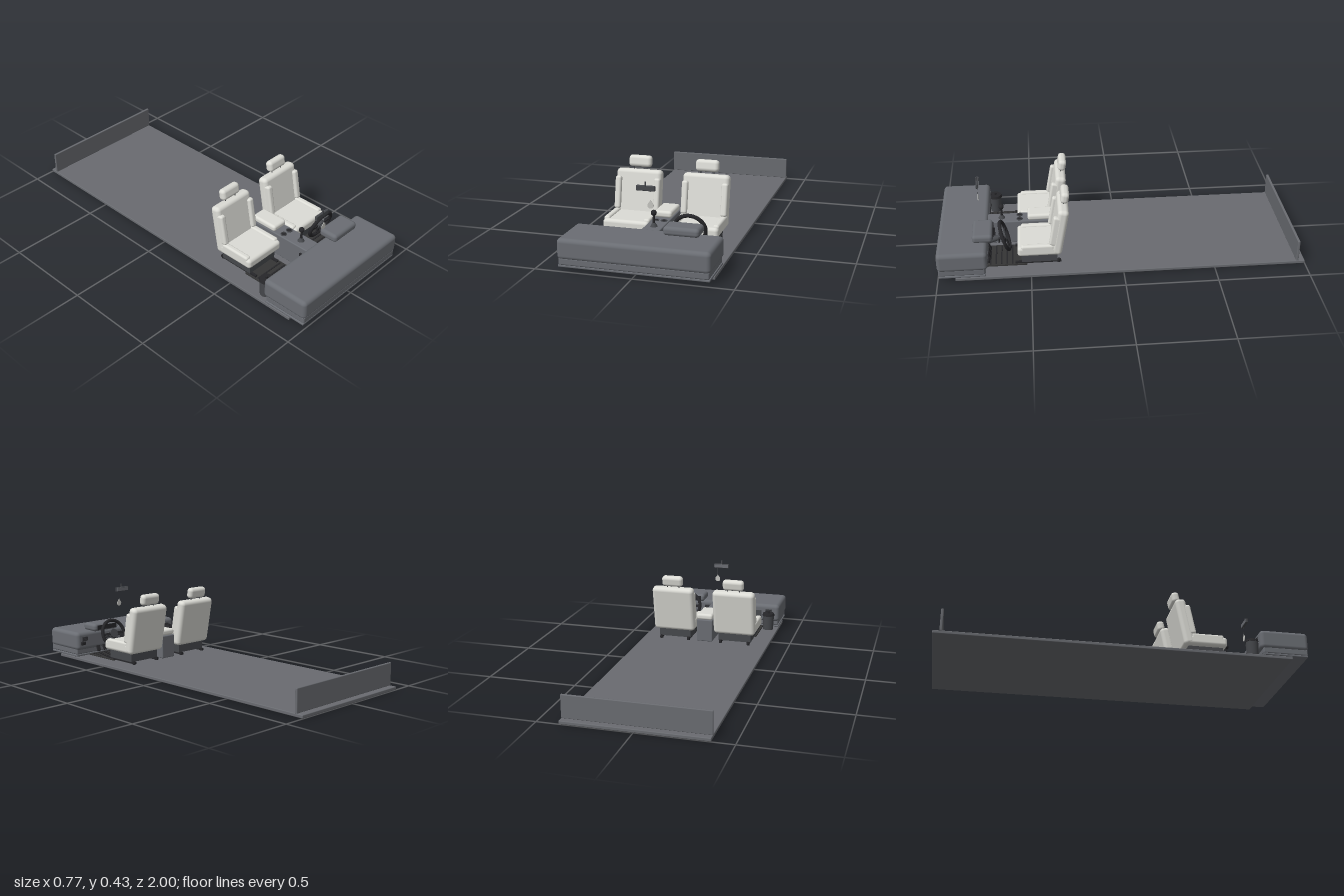
import * as THREE from 'three';
import { RoundedBoxGeometry } from 'three/addons/geometries/RoundedBoxGeometry.js';

const mat = (name, color, side = THREE.FrontSide) => {
  const m = new THREE.MeshStandardMaterial({ color, side });
  m.name = name;
  return m;
};

export function createModel() {
  const floorGrey = mat('floor grey', 0x696b70);
  const dashGrey = mat('dash grey', 0x6a6d73);
  const cream = mat('seat cream', 0xdcdcd6);
  const charcoal = mat('charcoal', 0x46484c);
  const matBlack = mat('mat black', 0x353535);
  const black = mat('black', 0x27272a);
  const pale = mat('pendant grey', 0xc4c4c0, THREE.DoubleSide);

  const root = new THREE.Group();
  root.name = 'vanInterior';

  const add = (parent, name, geo, m, x = 0, y = 0, z = 0) => {
    const mesh = new THREE.Mesh(geo, m);
    mesh.name = name;
    mesh.position.set(x, y, z);
    parent.add(mesh);
    return mesh;
  };
  const group = (name, x = 0, y = 0, z = 0) => {
    const g = new THREE.Group();
    g.name = name;
    g.position.set(x, y, z);
    root.add(g);
    return g;
  };
  const box = (w, h, d) => new THREE.BoxGeometry(w, h, d);
  const soft = (w, h, d, r) => new RoundedBoxGeometry(w, h, d, 4, r);
  const cyl = (rt, rb, h, n = 20) => new THREE.CylinderGeometry(rt, rb, h, n);

  // Floor and rear wall
  add(root, 'floor', soft(0.766, 0.018, 1.905, 0.004), floorGrey, 0, 0.0095, -0.0475);
  add(root, 'rearPanel', soft(0.766, 0.125, 0.014, 0.004), floorGrey, 0, 0.08, -0.958);

  // Dashboard: padded top over a stepped lower body
  add(root, 'dashTop', soft(0.77, 0.108, 0.27, 0.022), dashGrey, 0, 0.112, 0.865);
  add(root, 'dashLower', soft(0.756, 0.038, 0.25, 0.008), dashGrey, 0, 0.05, 0.87);
  add(root, 'dashFoot', soft(0.762, 0.012, 0.25, 0.004), dashGrey, 0, 0.026, 0.868);
  add(root, 'instrumentHood', soft(0.184, 0.046, 0.11, 0.018), dashGrey, 0.185, 0.186, 0.755);
  add(root, 'instrumentPanel', box(0.14, 0.026, 0.006), black, 0.185, 0.186, 0.7);
  add(root, 'gloveBox', box(0.18, 0.045, 0.006), charcoal, -0.185, 0.105, 0.729);
  add(root, 'gloveBoxHandle', box(0.06, 0.007, 0.009), black, -0.185, 0.12, 0.726);

  // Dash vents with slats
  for (const x of [-0.32, -0.075, 0.075, 0.33]) {
    add(root, 'ventFrame', box(0.042, 0.026, 0.006), charcoal, x, 0.125, 0.729);
    for (let i = -1; i <= 1; i++)
      add(root, 'ventSlat', box(0.036, 0.003, 0.006), black, x, 0.125 + i * 0.007, 0.726);
  }

  // Foot mats with low ribs
  for (const s of [-1, 1]) {
    add(root, 'footMat', box(0.2, 0.008, 0.24), matBlack, s * 0.185, 0.022, 0.64);
    for (let i = 0; i < 5; i++)
      add(root, 'matRib', box(0.18, 0.003, 0.008), black, s * 0.185, 0.027, 0.6 + i * 0.03);
  }

  // Pedals
  for (const x of [0.14, 0.185, 0.232]) {
    add(root, 'pedal', soft(0.026, 0.036, 0.008, 0.003), black, x, 0.055, 0.725).rotation.x = 0.4;
    add(root, 'pedalArm', box(0.006, 0.03, 0.006), black, x, 0.075, 0.738).rotation.x = 0.5;
  }
  add(root, 'sideSwitch', soft(0.03, 0.02, 0.018, 0.004), black, 0.345, 0.1, 0.726);

  // Centre console
  const con = group('centreConsole');
  add(con, 'consoleBody', soft(0.096, 0.135, 0.42, 0.006), dashGrey, 0, 0.087, 0.56);
  add(con, 'armrest', soft(0.096, 0.036, 0.16, 0.014), cream, 0, 0.172, 0.43);
  for (const s of [-1, 1]) {
    const ring = add(con, 'cupHolderRing', new THREE.TorusGeometry(0.015, 0.003, 8, 24), charcoal, s * 0.022, 0.156, 0.555);
    ring.rotation.x = Math.PI / 2;
    add(con, 'cupHolderWell', cyl(0.014, 0.014, 0.004), black, s * 0.022, 0.155, 0.555);
    add(con, 'consoleTrim', box(0.008, 0.05, 0.04), black, s * 0.056, 0.1, 0.715);
  }
  add(con, 'shifterBoot', cyl(0.008, 0.02, 0.02), charcoal, 0, 0.163, 0.655);
  add(con, 'shifterStick', cyl(0.005, 0.007, 0.06, 12), black, 0, 0.19, 0.655);
  add(con, 'shifterKnob', new THREE.SphereGeometry(0.015, 20, 14), black, 0, 0.226, 0.655);

  // Seats
  for (const s of [-1, 1]) {
    const seat = group(s > 0 ? 'driverSeat' : 'passengerSeat', s * 0.185, 0, 0);
    add(seat, 'seatBase', box(0.195, 0.052, 0.195), charcoal, 0, 0.061, 0.452);
    add(seat, 'seatCushion', soft(0.25, 0.056, 0.24, 0.018), cream, 0, 0.113, 0.45);
    const back = new THREE.Group();
    back.name = 'seatBack';
    back.position.set(0, 0.085, 0.362);
    back.rotation.x = -0.185;
    seat.add(back);
    add(back, 'backrest', soft(0.252, 0.275, 0.06, 0.022), cream, 0, 0.137, 0);
    add(back, 'headrest', soft(0.126, 0.063, 0.044, 0.019), cream, 0, 0.317, 0);
    for (const t of [-1, 1]) {
      add(seat, 'seatRail', box(0.014, 0.012, 0.25), black, t * 0.085, 0.03, 0.46);
      add(seat, 'railFoot', cyl(0.009, 0.009, 0.018, 14), black, t * 0.085, 0.03, 0.348);
      add(seat, 'cushionBolster', soft(0.034, 0.05, 0.18, 0.012), cream, t * 0.108, 0.126, 0.46);
      add(back, 'backBolster', soft(0.034, 0.175, 0.045, 0.012), cream, t * 0.108, 0.145, 0.026);
      add(back, 'headrestPost', cyl(0.003, 0.003, 0.03, 10), charcoal, t * 0.036, 0.282, 0);
    }
  }

  // Steering wheel, tilted with its column running forward and down
  const wheel = group('steeringWheel', 0.185, 0.152, 0.637);
  wheel.rotation.x = 0.31;
  add(wheel, 'wheelRim', new THREE.TorusGeometry(0.08, 0.01, 12, 40), black);
  add(wheel, 'wheelHub', cyl(0.024, 0.026, 0.018, 24), charcoal).rotation.x = Math.PI / 2;
  for (const a of [0, Math.PI, -Math.PI / 2])
    add(wheel, 'wheelSpoke', box(0.062, 0.014, 0.008), black,
      Math.cos(a) * 0.048, Math.sin(a) * 0.048, 0).rotation.z = a;
  add(wheel, 'steeringColumn', cyl(0.018, 0.014, 0.12), charcoal, 0, 0, 0.065).rotation.x = Math.PI / 2;
  for (const s of [-1, 1])
    add(wheel, 'columnStalk', cyl(0.003, 0.004, 0.05, 10), black, s * 0.036, 0.005, 0.03).rotation.z = Math.PI / 2;

  // Waste bin beside the passenger seat
  const bin = group('wasteBin', -0.325, 0.018, 0.7);
  add(bin, 'binBody', cyl(0.035, 0.031, 0.09, 28), charcoal, 0, 0.045, 0);
  add(bin, 'binLid', cyl(0.034, 0.038, 0.014, 28), black, 0, 0.097, 0);
  add(bin, 'binKnob', cyl(0.007, 0.007, 0.012, 14), black, 0, 0.109, 0);

  // Rear-view mirror with hanging drop
  const mirror = group('rearViewMirror', 0, 0, 0.776);
  add(mirror, 'mirrorBody', soft(0.096, 0.027, 0.014, 0.004), charcoal, 0, 0.387, 0);
  add(mirror, 'mirrorGlass', box(0.086, 0.019, 0.003), dashGrey, 0, 0.387, -0.007);
  add(mirror, 'mirrorStem', soft(0.008, 0.026, 0.008, 0.002), charcoal, 0, 0.408, 0.006);
  add(mirror, 'pendantString', cyl(0.0009, 0.0009, 0.05, 6), charcoal, 0.024, 0.352, 0);
  const drop = new THREE.Shape();
  drop.moveTo(0, 0.044);
  drop.bezierCurveTo(0.004, 0.034, 0.016, 0.028, 0.016, 0.015);
  drop.bezierCurveTo(0.016, -0.005, -0.016, -0.005, -0.016, 0.015);
  drop.bezierCurveTo(-0.016, 0.028, -0.004, 0.034, 0, 0.044);
  add(mirror, 'pendantDrop', new THREE.ExtrudeGeometry(drop, { depth: 0.003, bevelEnabled: false, curveSegments: 12 }),
    pale, 0.024, 0.285, -0.0015);

  return root;
}
